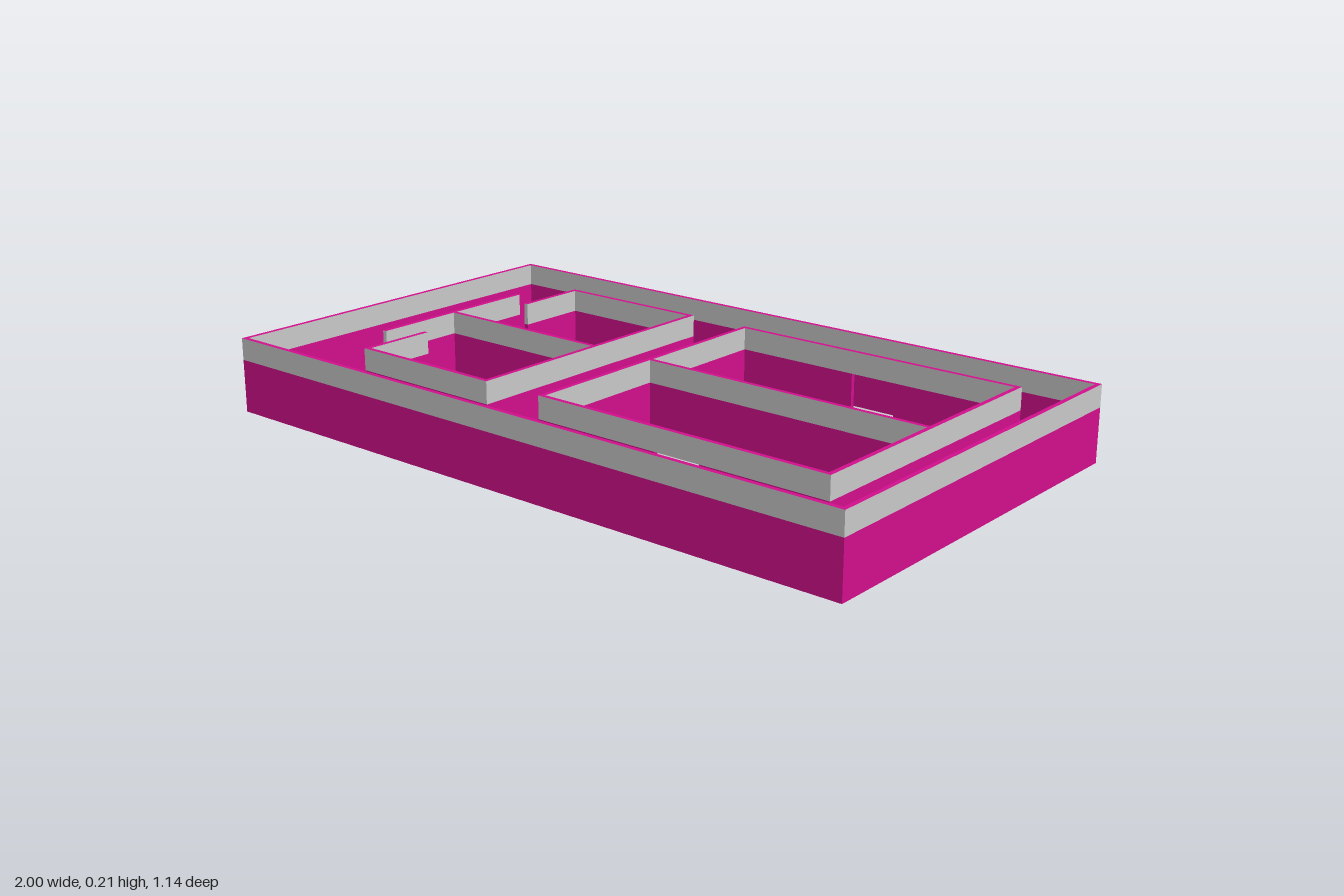
import * as THREE from 'three';

const T = 0.013;        // wall thickness
const DOOR_H = 0.15;    // height of painted wall and doorways
const WALL_H = 0.212;   // full wall height

const grey = new THREE.MeshStandardMaterial({ color: 0xcccccc });
const magenta = new THREE.MeshStandardMaterial({ color: 0xd50f8e });
// upper band: grey sides with a painted top
const bandMaterials = [grey, grey, magenta, grey, grey, grey];

function block(name, x0, x1, y0, y1, z0, z1, material) {
  const mesh = new THREE.Mesh(new THREE.BoxGeometry(x1 - x0, y1 - y0, z1 - z0), material);
  mesh.position.set((x0 + x1) / 2, (y0 + y1) / 2, (z0 + z1) / 2);
  mesh.name = name;
  return mesh;
}

// Wall over a plan rectangle; an optional doorway [from, to] is cut along x
function wall(name, x0, x1, z0, z1, door) {
  const group = new THREE.Group();
  group.name = name;
  const spans = door ? [[x0, door[0]], [door[1], x1]] : [[x0, x1]];
  for (const [a, b] of spans) group.add(block('paintedWall', a, b, 0, DOOR_H, z0, z1, magenta));
  group.add(block('upperBand', x0, x1, DOOR_H, WALL_H, z0, z1, bandMaterials));
  return group;
}

export function createModel() {
  const model = new THREE.Group();
  model.name = 'floorPlan';
  const X = 1, Z = 0.57;

  model.add(block('floor', -X + T / 2, X - T / 2, 0, 0.002, -Z + T / 2, Z - T / 2, grey));

  // Outer enclosure
  for (const s of [-1, 1]) {
    const cz = s * (Z - T / 2), cx = s * (X - T / 2);
    model.add(wall('outerLongWall', -X, X, cz - T / 2, cz + T / 2));
    model.add(wall('outerShortWall', cx - T / 2, cx + T / 2, -Z + T, Z - T));
  }

  // Small rooms: a pair of open rooms behind a screen wall
  const R = 0.418;
  for (const s of [-1, 1]) {
    const cz = s * (R - T / 2), ez = s * 0.302;
    model.add(wall('smallRoomSideWall', -0.668, -0.203, cz - T / 2, cz + T / 2));
    model.add(wall('smallRoomEntryWall', -0.668, -0.668 + T, ez - 0.103, ez + 0.103));
  }
  model.add(wall('smallRoomEndWall', -0.203 - T, -0.203, -R + T, R - T));
  model.add(wall('smallRoomDivider', -0.765 + T, -0.203 - T, -T / 2, T / 2));
  model.add(wall('screenWall', -0.765, -0.765 + T, -0.265, 0.265));

  // Large rooms: two closed rooms with a doorway each
  for (const s of [-1, 1]) {
    const cz = s * (R - T / 2);
    model.add(wall('largeRoomSideWall', -0.021, 0.858, cz - T / 2, cz + T / 2, [0.355, 0.49]));
  }
  model.add(wall('largeRoomInnerWall', -0.021, -0.021 + T, -R + T, R - T));
  model.add(wall('largeRoomOuterWall', 0.858 - T, 0.858, -R + T, R - T));
  model.add(wall('largeRoomDivider', -0.021 + T, 0.858 - T, -T / 2, T / 2));

  return model;
}
